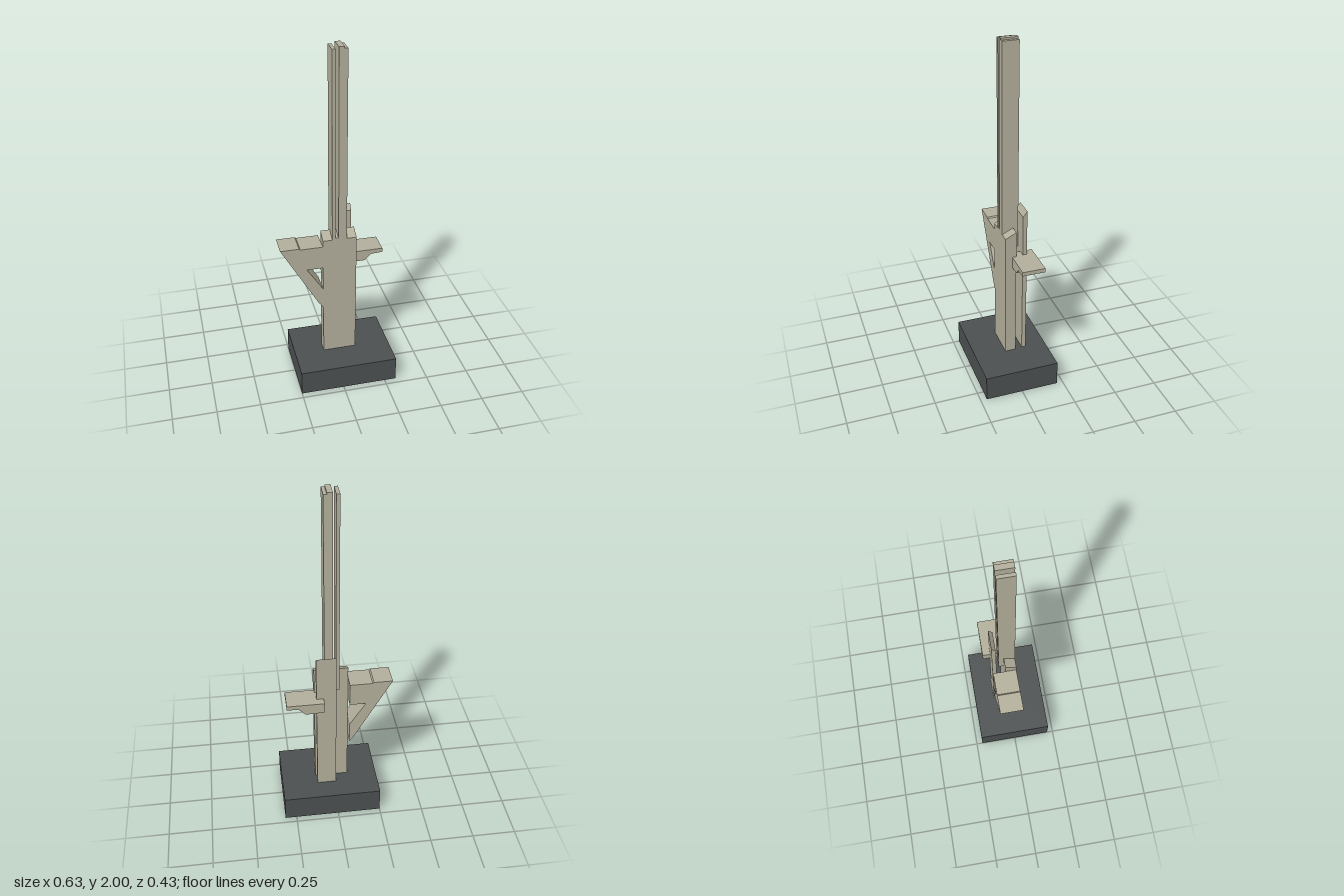
import * as THREE from 'three';

const stone = new THREE.MeshStandardMaterial({ color: 0xb2ae9b });
stone.name = 'pale stone';
const slate = new THREE.MeshStandardMaterial({ color: 0x4b4f50 });
slate.name = 'dark slate';

function mesh(name, geometry, material = stone) {
  const m = new THREE.Mesh(geometry, material);
  m.name = name;
  return m;
}

// box given by its limits on each axis
function block(name, [x0, x1], [y0, y1], [z0, z1], material) {
  const g = new THREE.BoxGeometry(x1 - x0, y1 - y0, z1 - z0);
  g.translate((x0 + x1) / 2, (y0 + y1) / 2, (z0 + z1) / 2);
  return mesh(name, g, material);
}

const outline = (points) => new THREE.Shape(points.map(([a, b]) => new THREE.Vector2(a, b)));

// front profile (x, y) extruded from z0 to z1
function frontProfile(name, points, z0, z1) {
  const g = new THREE.ExtrudeGeometry(outline(points), { depth: z1 - z0, bevelEnabled: false });
  g.translate(0, 0, z0);
  return mesh(name, g);
}

// side profile (z, y) extruded from x0 to x1
function sideProfile(name, points, x0, x1) {
  const g = new THREE.ExtrudeGeometry(outline(points), { depth: x1 - x0, bevelEnabled: false });
  g.rotateY(-Math.PI / 2);
  g.translate(x1, 0, 0);
  return mesh(name, g);
}

export function createModel() {
  const model = new THREE.Group();
  model.name = 'tower';

  model.add(block('base', [-0.25, 0.316], [0, 0.147], [-0.214, 0.214], slate));

  // upright slabs with sloping tops
  model.add(sideProfile('frontSlab',
    [[0.033, 0.147], [0.033, 0.906], [-0.03, 0.938], [-0.03, 0.147]], -0.078, 0.114));
  model.add(sideProfile('rearSlab',
    [[-0.07, 0.147], [-0.07, 1.022], [-0.094, 1.055], [-0.094, 0.147]], -0.003, 0.108));

  // tall mast: separate fins, notched over the front slab
  const mast = new THREE.Group();
  mast.name = 'mast';
  const fins = [
    ['leftFin', -0.025, -0.006, 1.99],
    ['middleFin', 0.011, 0.04, 2],
    ['rightFin', 0.04, 0.058, 1.99],
  ];
  for (const [name, x0, x1, top] of fins) {
    mast.add(sideProfile(name,
      [[0.033, 0.906], [0.033, top], [-0.059, top], [-0.059, 0.815], [-0.03, 0.815], [-0.03, 0.93]], x0, x1));
  }
  mast.add(block('rearJoint', [-0.006, 0.011], [0.815, 0.91], [-0.059, -0.03]));
  mast.add(block('frontJoint', [-0.006, 0.011], [0.9, 0.916], [0.02, 0.033]));
  model.add(mast);

  // braced arm, open in the middle against the slab
  model.add(frontProfile('bracedArm', [
    [-0.078, 0.868], [-0.205, 0.868], [-0.212, 0.874], [-0.318, 0.874], [-0.105, 0.495],
    [-0.078, 0.46], [-0.078, 0.587], [-0.17, 0.73], [-0.078, 0.73],
  ], -0.099, 0.032));

  // small shelf with a thick root
  model.add(frontProfile('shelf', [
    [0.067, 0.785], [0.067, 0.725], [0.13, 0.72], [0.175, 0.72], [0.21, 0.757],
    [0.278, 0.761], [0.278, 0.785],
  ], -0.138, -0.007));

  return model;
}
